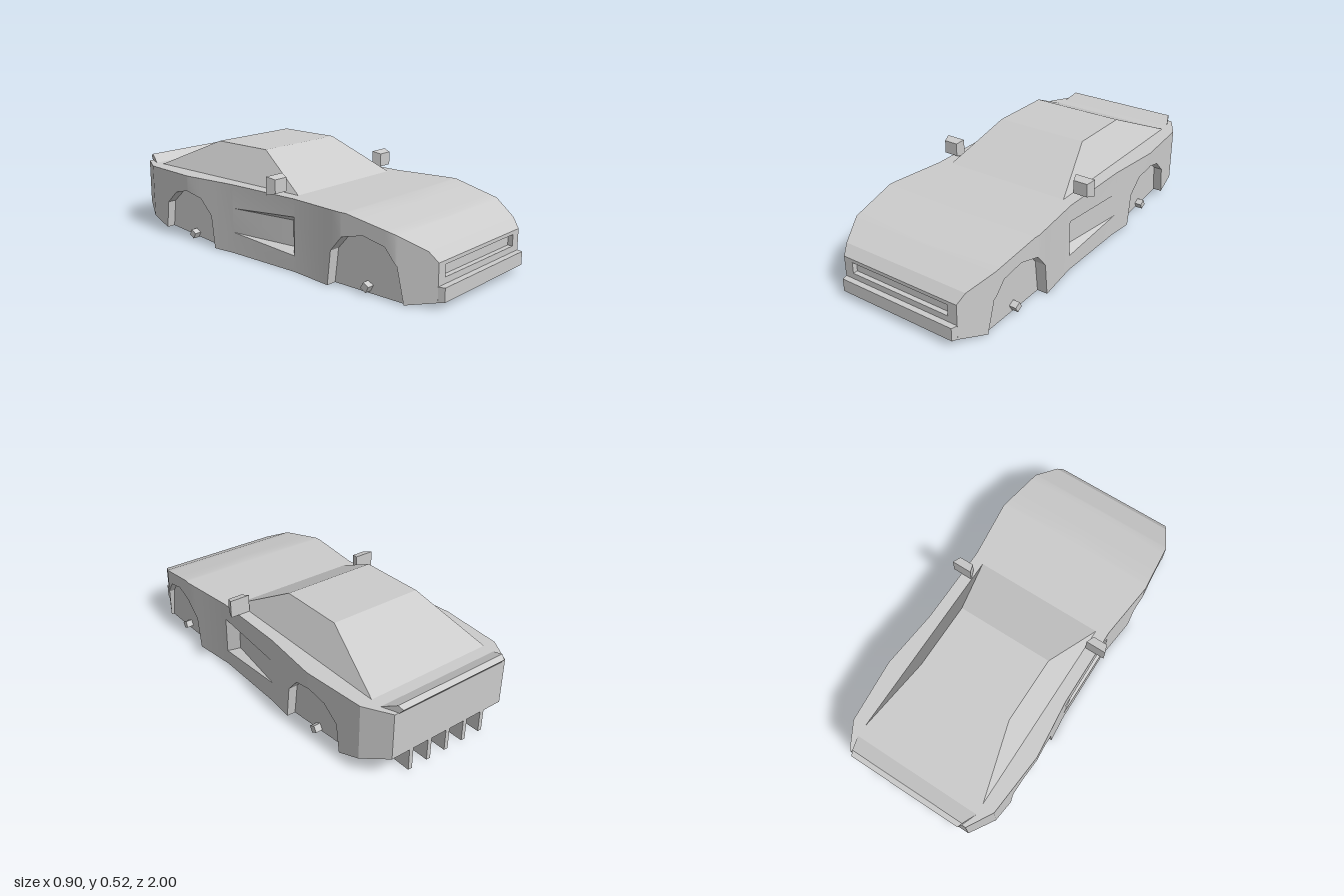
import * as THREE from 'three';
import { toCreasedNormals } from 'three/addons/utils/BufferGeometryUtils.js';

const grey = new THREE.MeshStandardMaterial({ color: 0xcccccc });

// Tables of [z, value], front to rear
const WIDTH = [[0.97, 0.33], [0.8, 0.41], [0.52, 0.438], [0.21, 0.403], [-0.21, 0.408], [-0.52, 0.438], [-0.85, 0.41], [-0.98, 0.335]];
const TOP = [[0.97, 0.205], [0.93, 0.25], [0.8, 0.31], [0.55, 0.36], [0.2, 0.357], [-0.98, 0.355]];
const FLOOR = [[0.97, 0.028], [0.84, 0], [-0.34, 0], [-0.73, 0.035], [-0.98, 0.12]];
const ARCHES = [
  [[0.84, 0], [0.81, 0.17], [0.75, 0.247], [0.64, 0.275], [0.53, 0.25], [0.46, 0.17], [0.44, 0]],
  [[-0.34, 0], [-0.36, 0.17], [-0.43, 0.25], [-0.53, 0.275], [-0.63, 0.25], [-0.71, 0.18], [-0.73, 0.035]],
];
const INTAKE_LOW = [[0.21, 0.08], [-0.21, 0.11]];
const INTAKE_HIGH = [[0.21, 0.27], [-0.21, 0.235]];
const WELL_X = 0.375;

// Linear interpolation in a table
function at(table, z) {
  for (let i = 1; i < table.length; i++) {
    const [z0, v0] = table[i - 1], [z1, v1] = table[i];
    if (z >= z1 - 1e-9) return v0 + (v1 - v0) * (z0 - z) / (z0 - z1);
  }
  return table[table.length - 1][1];
}
const covers = (table, z) => z < table[0][0] && z > table[table.length - 1][0];

function mesh(name, geometry) {
  const m = new THREE.Mesh(geometry, grey);
  m.name = name;
  return m;
}

function buildBody() {
  const pos = [];
  // Adds a face on the left side and its mirror image on the right
  const face = (...p) => {
    for (let i = 2; i < p.length; i++) {
      const tri = [p[0], p[i - 1], p[i]];
      tri.forEach(v => pos.push(...v));
      tri.reverse().forEach(([x, y, z]) => pos.push(-x, y, z));
    }
  };
  const frontFace = (x0, x1, y0, y1, z) => face([x0, y0, z], [x1, y0, z], [x1, y1, z], [x0, y1, z]);

  const all = [WIDTH, TOP, FLOOR, ...ARCHES].flat().map(p => p[0]);
  const zs = [...new Set(all)].sort((a, b) => b - a);
  for (let i = 1; i < zs.length; i++) {
    const a = zs[i - 1], b = zs[i], mid = (a + b) / 2;
    const wa = at(WIDTH, a), wb = at(WIDTH, b);
    const arch = ARCHES.find(t => covers(t, mid));
    const wall = (xa, xb, low, high) =>
      face([xa, at(low, a), a], [xb, at(low, b), b], [xb, at(high, b), b], [xa, at(high, a), a]);
    const under = (x0, xa, xb, t) =>
      face([x0, at(t, b), b], [xb, at(t, b), b], [xa, at(t, a), a], [x0, at(t, a), a]);

    // Hood, deck and floor
    face([0, at(TOP, a), a], [wa, at(TOP, a), a], [wb, at(TOP, b), b], [0, at(TOP, b), b]);
    under(0, arch ? WELL_X : wa, arch ? WELL_X : wb, FLOOR);

    // Flanks, wheel wells and the opening for the side intake
    if (arch) {
      wall(wa, wb, arch, TOP);
      wall(WELL_X, WELL_X, FLOOR, arch);
      under(WELL_X, wa, wb, arch);
    } else if (covers(INTAKE_LOW, mid)) {
      wall(wa, wb, FLOOR, INTAKE_LOW);
      wall(wa, wb, INTAKE_HIGH, TOP);
    } else wall(wa, wb, FLOOR, TOP);
  }

  // Side intake wedge, deepest at the front
  const wf = at(WIDTH, 0.21), wr = at(WIDTH, -0.21);
  const f0 = [wf, 0.08, 0.21], f1 = [wf, 0.27, 0.21], r0 = [wr, 0.11, -0.21], r1 = [wr, 0.235, -0.21];
  const i0 = [0.355, 0.105, 0.16], i1 = [0.355, 0.235, 0.16];
  face(i0, r0, r1, i1);
  face(f0, i0, i1, f1);
  face(f1, i1, r1);
  face(f0, r0, i0);

  // Nose with a recessed grille
  const gx = 0.28, g0 = 0.13, g1 = 0.187, z = 0.97, d = 0.945;
  frontFace(0, 0.33, 0.028, g0, z);
  frontFace(0, 0.33, g1, 0.205, z);
  frontFace(gx, 0.33, g0, g1, z);
  frontFace(0, gx, g0, g1, d);
  face([0, g0, z], [gx, g0, z], [gx, g0, d], [0, g0, d]);
  face([0, g1, d], [gx, g1, d], [gx, g1, z], [0, g1, z]);
  face([gx, g0, d], [gx, g0, z], [gx, g1, z], [gx, g1, d]);

  // Tail panel
  face([0.335, 0.12, -0.98], [0, 0.12, -0.98], [0, 0.355, -0.98], [0.335, 0.355, -0.98]);

  const g = new THREE.BufferGeometry();
  g.setAttribute('position', new THREE.Float32BufferAttribute(pos, 3));
  return toCreasedNormals(g, 0.35);
}

// Box whose corners are placed by a rule on the signs of x, y and z
function shapedBox(rule) {
  const g = new THREE.BoxGeometry(2, 2, 2).toNonIndexed();
  const p = g.attributes.position;
  for (let i = 0; i < p.count; i++) p.setXYZ(i, ...rule(p.getX(i), p.getY(i), p.getZ(i)));
  g.computeVertexNormals();
  return g;
}

// Side profile of [z, y] points extruded across x
function acrossBody(points, width) {
  const shape = new THREE.Shape(points.map(([z, y]) => new THREE.Vector2(-z, y)));
  return new THREE.ExtrudeGeometry(shape, { depth: width, bevelEnabled: false })
    .translate(0, 0, -width / 2).rotateY(Math.PI / 2);
}

export function createModel() {
  const car = new THREE.Group();
  car.name = 'sportsCar';
  car.add(mesh('body', buildBody()));

  // Front bumper step
  car.add(mesh('frontBumper', shapedBox((x, y, z) => [
    x * (z > 0 ? 0.322 : 0.33), y > 0 ? 0.1 : (z > 0 ? 0.034 : 0.028), z > 0 ? 1 : 0.969])));

  // Cabin
  car.add(mesh('cabin', shapedBox((x, y, z) => y > 0
    ? [x * 0.25, 0.52, z > 0 ? -0.13 : -0.475]
    : [x * 0.343, 0.357, z > 0 ? 0.18 : -0.845])));

  // Rear spoiler, narrowing towards the tail
  const spoiler = acrossBody([[-0.9, 0.354], [-0.975, 0.39], [-1, 0.376], [-0.98, 0.35]], 2);
  const sp = spoiler.attributes.position;
  for (let i = 0; i < sp.count; i++) sp.setX(i, sp.getX(i) * (0.345 + (sp.getZ(i) + 0.9) * 0.4));
  spoiler.computeVertexNormals();
  car.add(mesh('spoiler', spoiler));

  // Diffuser fins
  for (let i = -2; i <= 2; i++) {
    const fin = mesh('diffuserFin', acrossBody([[-0.35, 0.002], [-0.978, 0.006], [-0.978, 0.125], [-0.73, 0.04]], 0.022));
    fin.position.x = i * 0.11;
    car.add(fin);
  }

  for (const side of [-1, 1]) {
    // Door mirrors, narrower at the front
    const mirror = mesh('doorMirror', shapedBox((x, y, z) => z > 0
      ? [x * 0.038, y * 0.034, 0.12]
      : [x * 0.053, y * 0.045, 0.075]));
    mirror.position.set(side * 0.397, 0.405, 0);
    car.add(mirror);

    // Axle stubs in the wheel wells
    for (const z of [0.64, -0.53]) {
      const stub = mesh('axleStub', new THREE.BoxGeometry(0.05, 0.034, 0.034));
      stub.position.set(side * 0.386, 0.034, z);
      stub.rotation.x = 0.5;
      car.add(stub);
    }
  }
  return car;
}
